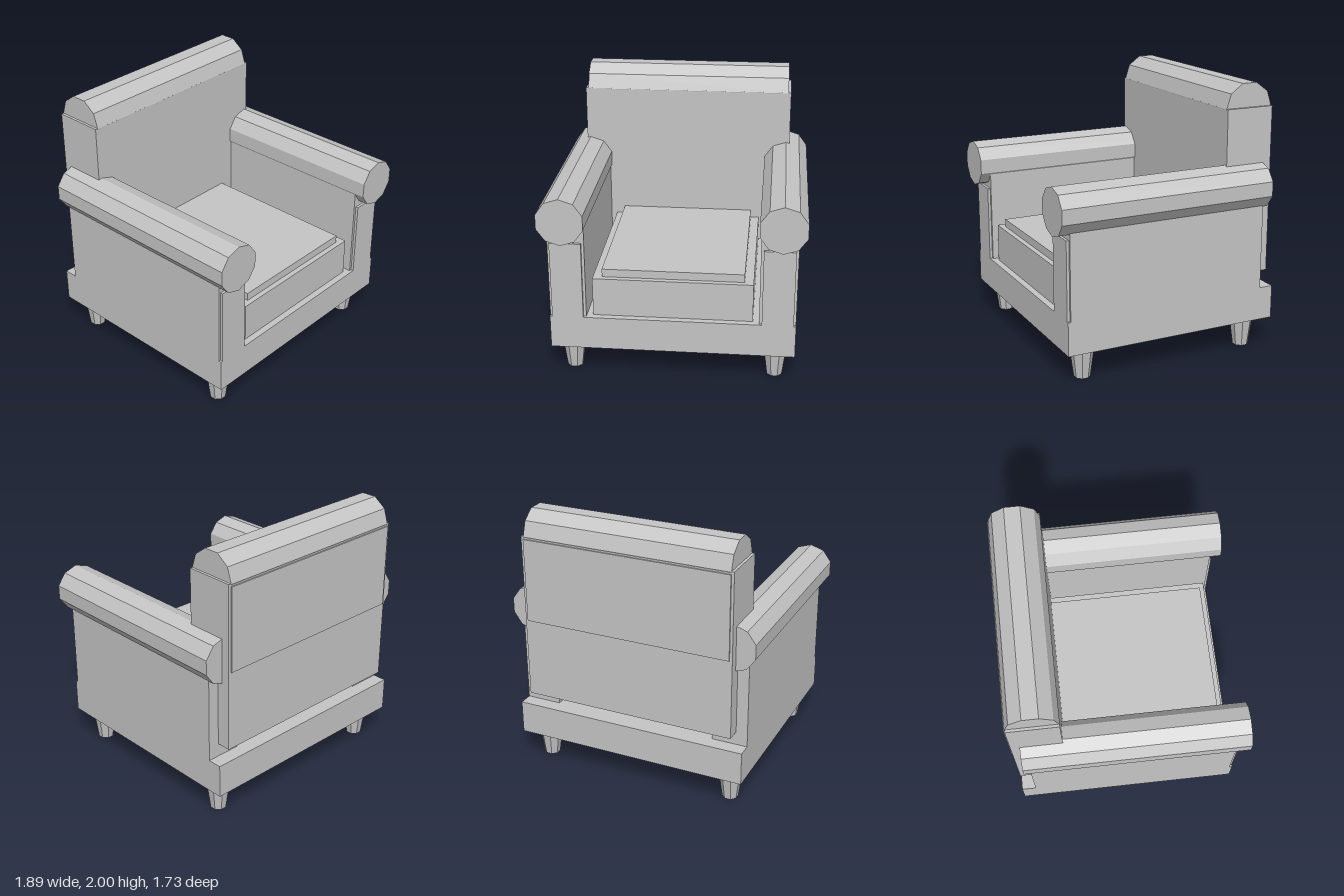
import * as THREE from 'three';

export function createModel() {
  const model = new THREE.Group();
  model.name = 'armchair';
  const fabric = new THREE.MeshStandardMaterial({ name: 'grey upholstery', color: 0xc4c4c4, flatShading: true });

  const add = (name, geometry, x = 0, y = 0, z = 0) => {
    const mesh = new THREE.Mesh(geometry, fabric);
    mesh.name = name;
    mesh.position.set(x, y, z);
    model.add(mesh);
    return mesh;
  };
  // Box given by its limits on each axis
  const box = (name, [x0, x1], [y0, y1], [z0, z1]) =>
    add(name, new THREE.BoxGeometry(x1 - x0, y1 - y0, z1 - z0), (x0 + x1) / 2, (y0 + y1) / 2, (z0 + z1) / 2);

  // Base and seat
  box('base', [-0.89, 0.89], [0.23, 0.48], [-0.855, 0.805]);
  box('seatCushion', [-0.58, 0.58], [0.48, 0.77], [-0.69, 0.755]);
  box('seatTopPad', [-0.515, 0.515], [0.77, 0.83], [-0.65, 0.715]);

  // Backrest, floating a little above the base, with its rear panel
  box('backrest', [-0.805, 0.805], [0.58, 1.825], [-0.855, -0.483]);
  box('backPanel', [-0.785, 0.785], [1.18, 1.805], [-0.865, -0.855]);

  // Ten-sided roll along the top of the back, flat side up
  const backRoll = new THREE.CylinderGeometry(0.188, 0.188, 1.57, 10);
  backRoll.rotateY(Math.PI / 10).rotateZ(Math.PI / 2);
  // Turn so that a flat face is on top and corners point front and back
  backRoll.rotateX(Math.PI / 10);
  add('backRoll', backRoll, 0, 1.821, -0.67);

  // Ten-sided arm roll with a corner at the top
  const armRoll = new THREE.CylinderGeometry(0.175, 0.175, 1.655, 10).rotateX(Math.PI / 2);
  const leg = new THREE.CylinderGeometry(0.09, 0.059, 0.23, 8).rotateY(Math.PI / 8);

  for (const [side, s] of [['left', 1], ['right', -1]]) {
    const span = (a, b) => (s > 0 ? [a, b] : [-b, -a]);
    box(side + 'Arm', span(0.625, 0.89), [0.48, 1.2], [-0.75, 0.785]);
    box(side + 'ArmFrontPanel', span(0.645, 0.873), [0.48, 1.06], [0.785, 0.805]);
    add(side + 'ArmRoll', armRoll, s * 0.78, 1.245, 0.0375);
    add(side + 'FrontLeg', leg, s * 0.747, 0.115, 0.64);
    add(side + 'BackLeg', leg, s * 0.747, 0.115, -0.685);
  }
  return model;
}
